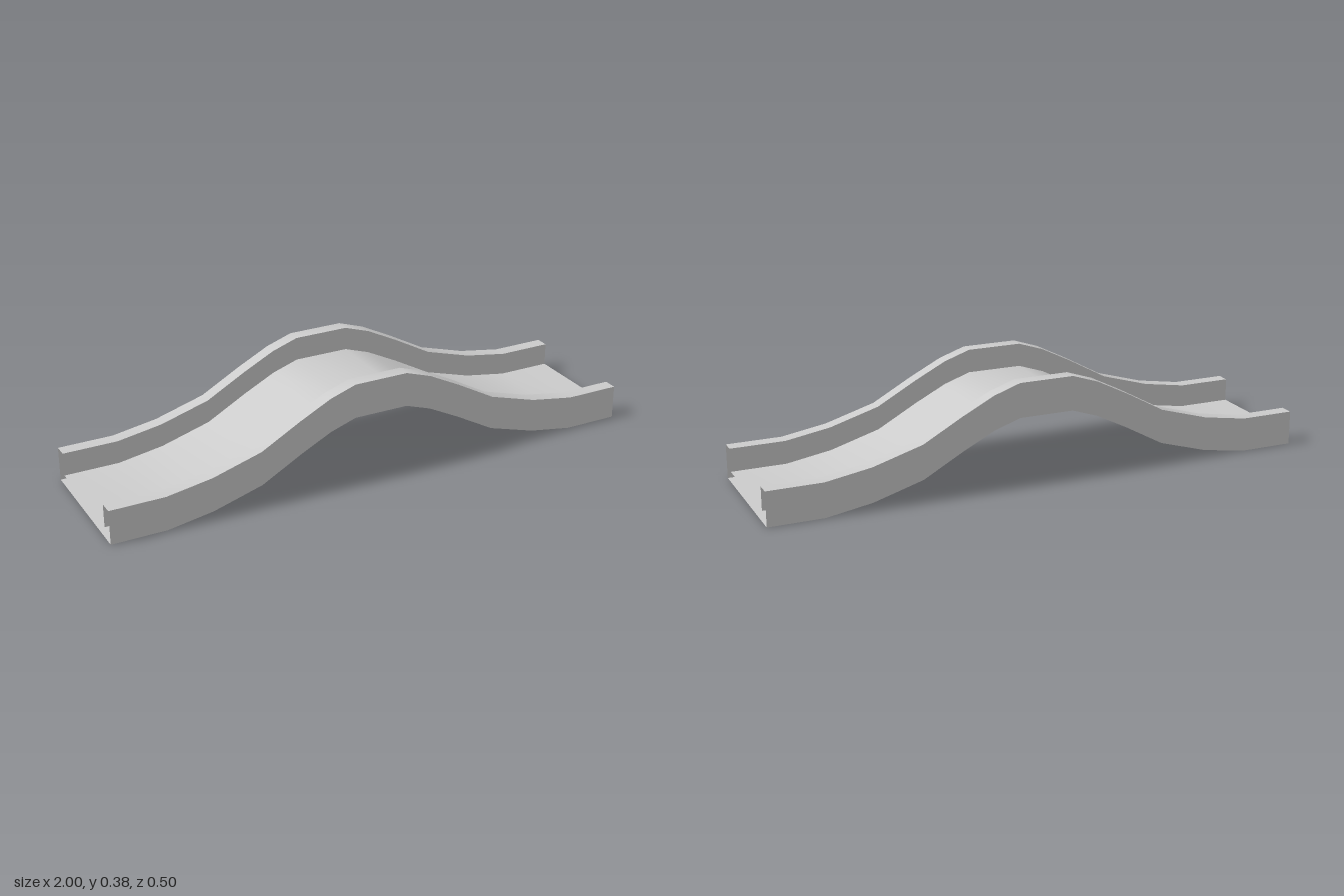
import * as THREE from 'three';

// Underside of the track from its left end to the crest (x, y)
const half = [[-1, 0], [-0.8, 0], [-0.635, 0.027], [-0.455, 0.08], [-0.31, 0.16], [-0.195, 0.218], [-0.1, 0.25]];
const path = [...half, ...half.map(([x, y]) => [-x, y]).reverse()];

// Sizes of the U-shaped channel
const OUTER = 0.25, INNER = 0.2, DECK = 0.04, RAIL = 0.125;

// Sweep one edge of the cross-section, from a to b as (z, height), along the path;
// smooth along the length, sharp at the corners of the channel
function strip(name, a, b, material) {
  const pos = [], index = [];
  path.forEach(([x, y], i) => {
    pos.push(x, y + a[1], a[0], x, y + b[1], b[0]);
    if (i === 0) return;
    const k = 2 * i;
    index.push(k - 2, k, k - 1, k - 1, k, k + 1);
  });
  const geometry = new THREE.BufferGeometry();
  geometry.setAttribute('position', new THREE.Float32BufferAttribute(pos, 3));
  geometry.setIndex(index);
  geometry.computeVertexNormals();
  const mesh = new THREE.Mesh(geometry, material);
  mesh.name = name;
  return mesh;
}

export function createModel() {
  const group = new THREE.Group();
  group.name = 'humpTrack';
  // The channel is a hollow shell, open at both ends
  const material = new THREE.MeshStandardMaterial({ color: 0xcccccc, side: THREE.DoubleSide });

  // Cross-section, listed so that every strip faces outward
  const edges = [
    ['underside', [-OUTER, 0], [OUTER, 0]],
    ['frontOuterWall', [OUTER, 0], [OUTER, RAIL]],
    ['frontRailTop', [OUTER, RAIL], [INNER, RAIL]],
    ['frontInnerWall', [INNER, RAIL], [INNER, DECK]],
    ['deck', [INNER, DECK], [-INNER, DECK]],
    ['backInnerWall', [-INNER, DECK], [-INNER, RAIL]],
    ['backRailTop', [-INNER, RAIL], [-OUTER, RAIL]],
    ['backOuterWall', [-OUTER, RAIL], [-OUTER, 0]],
  ];
  for (const [name, a, b] of edges) group.add(strip(name, a, b, material));
  return group;
}
